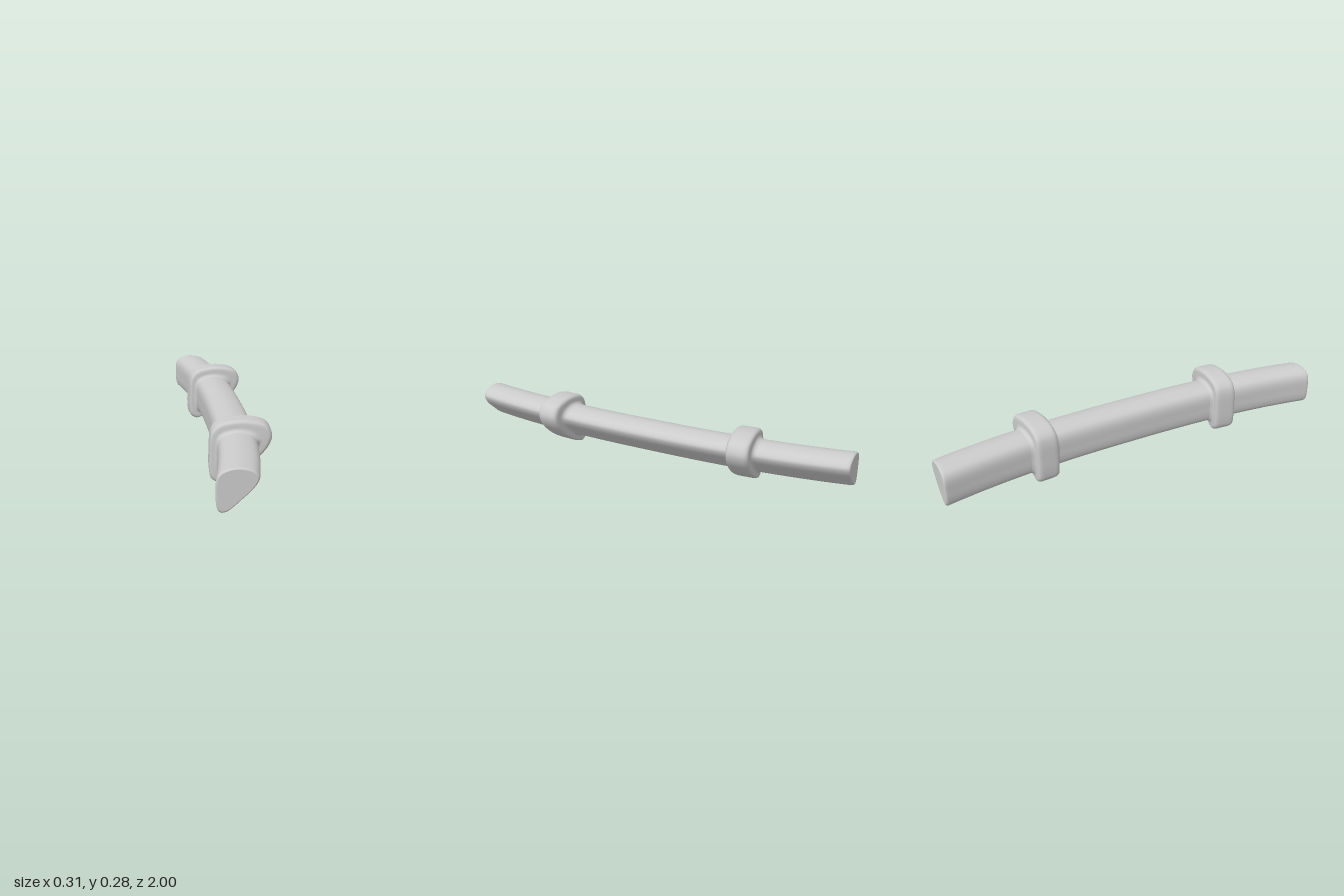
import * as THREE from 'three';

const SIDES = 64;

// Closed smooth cross-section, shifted in x into the frame of the bar's middle
function outline(points, dx) {
  const curve = new THREE.CatmullRomCurve3(
    points.map(([x, y]) => new THREE.Vector3(x + dx, y, 0)), true, 'centripetal');
  return Array.from({ length: SIDES }, (_, i) => curve.getPoint(i / SIDES));
}

const barOutline = outline([
  [-0.135, 0.05], [-0.113, 0.053], [-0.087, 0.07], [-0.051, 0.102],
  [-0.012, 0.138], [0.012, 0.17], [0.018, 0.193], [0.003, 0.214],
  [-0.024, 0.227], [-0.069, 0.234], [-0.113, 0.226], [-0.14, 0.211],
  [-0.153, 0.184], [-0.155, 0.13], [-0.154, 0.089], [-0.147, 0.061],
], 0.082);

const collarOutline = outline([
  [-0.087, 0.001], [-0.051, 0.012], [0.003, 0.041], [0.065, 0.084],
  [0.11, 0.127], [0.142, 0.171], [0.153, 0.211], [0.14, 0.246],
  [0.117, 0.266], [0.038, 0.282], [-0.038, 0.277], [-0.083, 0.262],
  [-0.112, 0.23], [-0.122, 0.13], [-0.122, 0.05], [-0.115, 0.02],
], 0.0145);

// Sideways bend of the bar along its length
const bend = (z) => -0.082 * Math.pow(Math.abs(z), 2.5);

// Skin a list of sections (each a loop of SIDES points, running from -z to +z)
function skin(sections, name) {
  const positions = [], index = [];
  sections.forEach((loop) => loop.forEach((p) => positions.push(p.x, p.y, p.z)));
  for (let s = 0; s < sections.length - 1; s++) {
    for (let i = 0; i < SIDES; i++) {
      const j = (i + 1) % SIDES;
      const a = s * SIDES + i, b = s * SIDES + j;
      index.push(a, b, b + SIDES, a, b + SIDES, a + SIDES);
    }
  }
  const geometry = new THREE.BufferGeometry();
  geometry.setAttribute('position', new THREE.Float32BufferAttribute(positions, 3));
  geometry.setIndex(index);
  geometry.computeVertexNormals();
  const mesh = new THREE.Mesh(geometry, new THREE.MeshStandardMaterial({ color: 0xcccccc }));
  mesh.name = name;
  return mesh;
}

// Bent bar with softly rounded, closed ends
function createBar() {
  const end = [[1, 0], [1, 0.9], [1, 0.92], [0.997, 0.965], [0.992, 0.99], [0.984, 1]];
  const stations = end.map(([z, k]) => [-z, k]);
  for (let i = -24; i <= 24; i++) stations.push([i / 25, 1]);
  stations.push(...end.slice().reverse());
  const cx = 0.01, cy = 0.16;
  return skin(stations.map(([z, k]) => barOutline.map((p) =>
    new THREE.Vector3(cx + (p.x - cx) * k + bend(z), cy + (p.y - cy) * k, z))), 'bar');
}

// Raised collar, blending from the bar's section out to its own and back
function createCollar(side, name) {
  const half = [[0.075, -0.02], [0.066, 0.04], [0.06, 0.12], [0.056, 0.25], [0.055, 0.4],
    [0.055, 0.7], [0.052, 0.85], [0.046, 0.94], [0.038, 0.985], [0.028, 1]];
  const stations = [...half.map(([z, t]) => [-z, t]), ...half.slice().reverse()];
  return skin(stations.map(([dz, t]) => barOutline.map((p, i) => {
    const q = p.clone().lerp(collarOutline[i], t);
    const z = side * 0.5 + dz;
    // lean the collar so it stays square to the bend
    return new THREE.Vector3(q.x + bend(z), q.y, z + side * 0.07 * (q.x - 0.02));
  })), name);
}

export function createModel() {
  const model = new THREE.Group();
  model.name = 'bentBarWithCollars';
  model.add(createBar(), createCollar(1, 'frontCollar'), createCollar(-1, 'backCollar'));
  return model;
}
